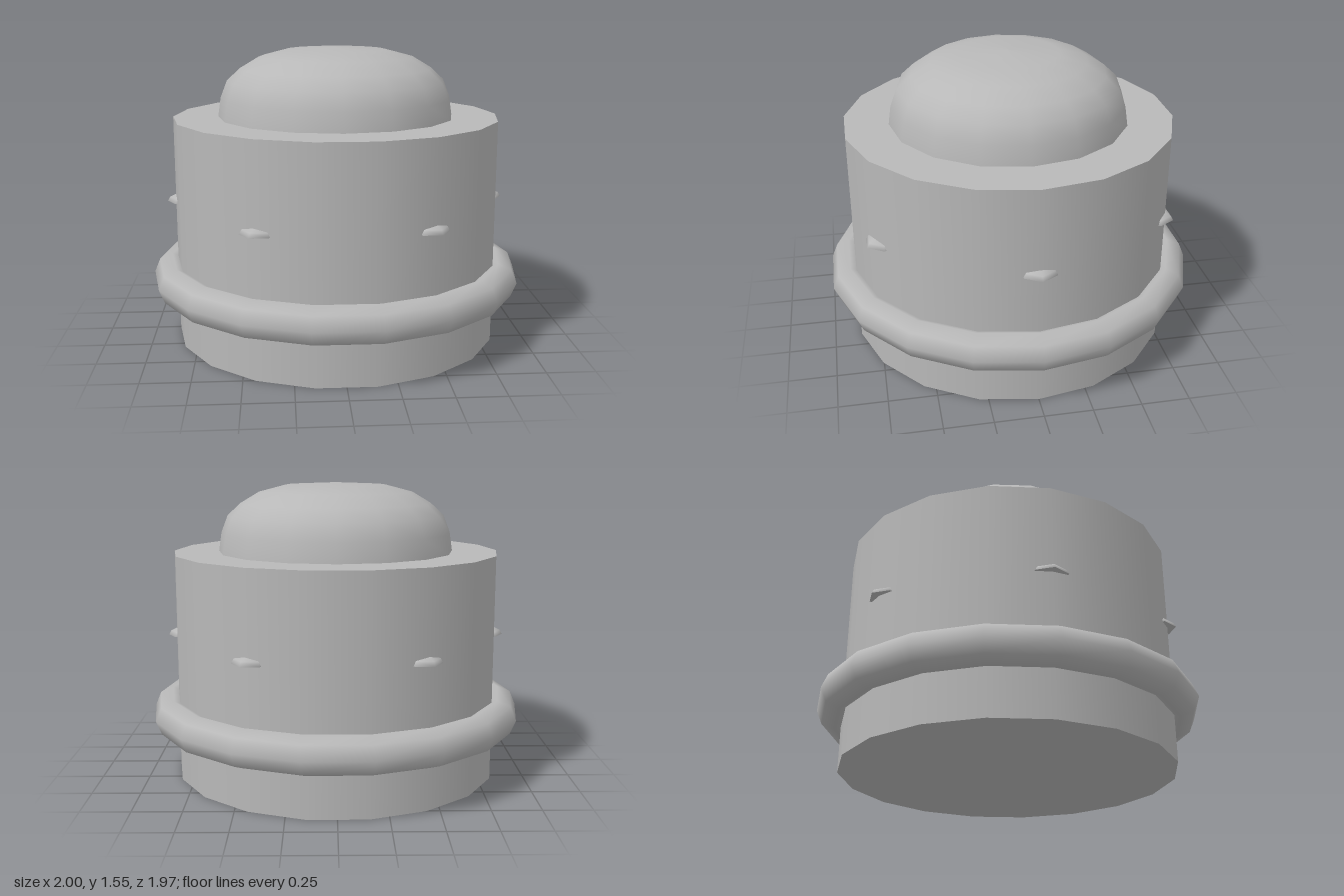
import * as THREE from 'three';
import { mergeGeometries } from 'three/addons/utils/BufferGeometryUtils.js';

export function createModel() {
  const group = new THREE.Group();
  const grey = new THREE.MeshStandardMaterial({ color: 0xb8b8b8 });
  grey.name = 'plain grey';

  const add = (name, geometry, x = 0, y = 0, z = 0) => {
    const mesh = new THREE.Mesh(geometry, grey);
    mesh.name = name;
    mesh.position.set(x, y, z);
    group.add(mesh);
    return mesh;
  };

  // Drum: 18 sides with corners on the x axis
  add('body', new THREE.CylinderGeometry(0.87, 0.87, 1.19, 18, 1, false, Math.PI / 2), 0, 0.595, 0);

  // Ring around the lower body
  add('ring', new THREE.TorusGeometry(0.9, 0.1, 8, 18).rotateX(Math.PI / 2), 0, 0.33, 0);

  // Flattened dome on top
  const profile = [
    [0.63, 1.18], [0.63, 1.19], [0.615, 1.29], [0.58, 1.38], [0.51, 1.445],
    [0.41, 1.505], [0.265, 1.543], [0, 1.555],
  ].map(([r, y]) => new THREE.Vector2(r, y));
  add('dome', new THREE.LatheGeometry(profile, 16));

  // Six half-sunk studs, flat underneath
  const cap = new THREE.SphereGeometry(0.095, 6, 3, 0, Math.PI * 2, 0, Math.PI / 2);
  cap.scale(1, 0.48, 1);
  const base = new THREE.CircleGeometry(0.095, 6).rotateX(Math.PI / 2);
  const stud = mergeGeometries([cap, base]);
  for (let i = 0; i < 6; i++) {
    const a = (i * Math.PI) / 3;
    add(`stud${i + 1}`, stud, 0.82 * Math.cos(a), 0.728, 0.82 * Math.sin(a));
  }

  return group;
}
